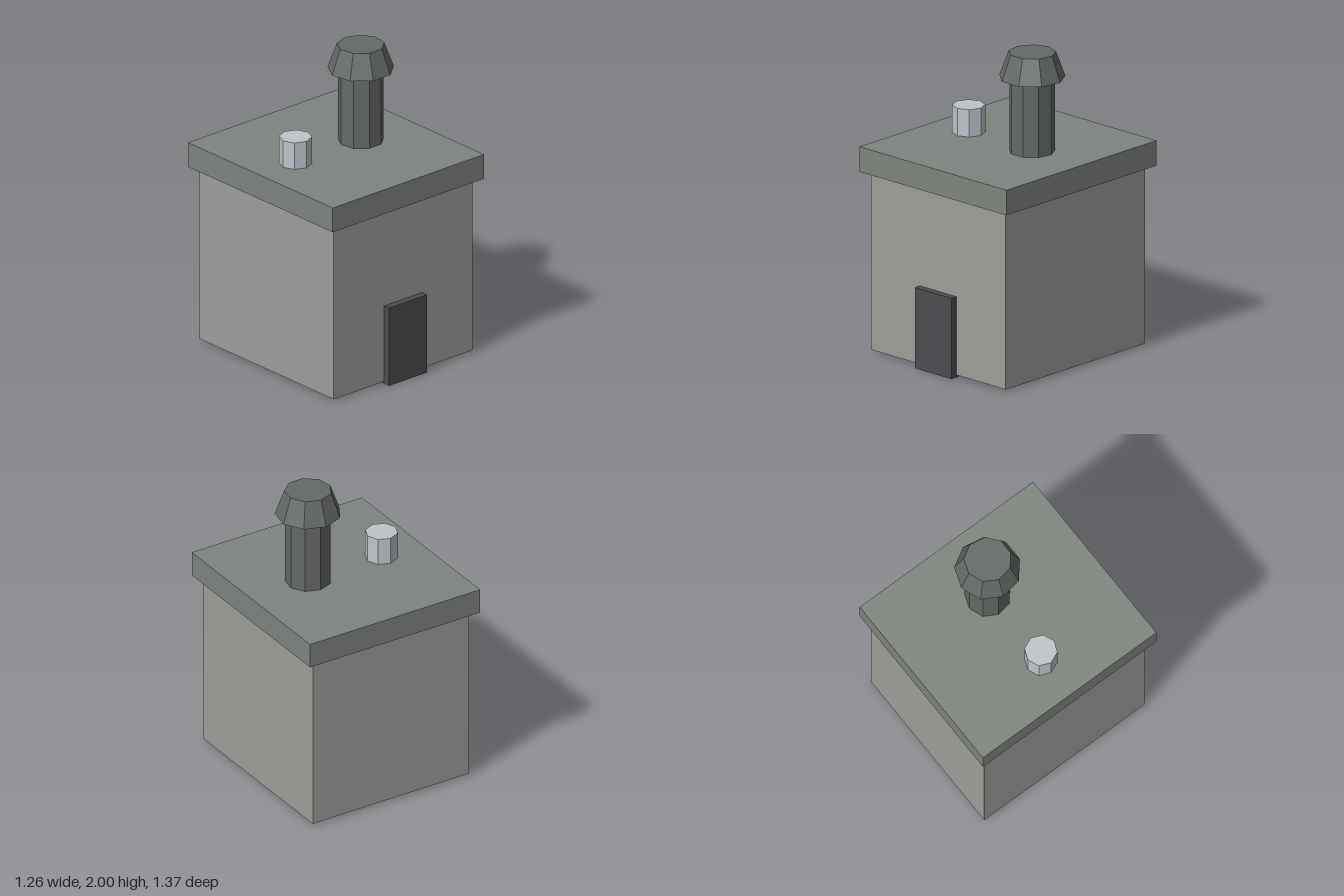
import * as THREE from 'three';

export function createModel() {
  const model = new THREE.Group();

  const add = (name, geometry, color, x, y, z) => {
    const material = new THREE.MeshStandardMaterial({ color, flatShading: true });
    const mesh = new THREE.Mesh(geometry, material);
    mesh.name = name;
    mesh.position.set(x, y, z);
    model.add(mesh);
    return mesh;
  };

  // Box given by width, bottom, top, back and front
  const box = (name, color, w, y0, y1, z0, z1) =>
    add(name, new THREE.BoxGeometry(w, y1 - y0, z1 - z0), color, 0, (y0 + y1) / 2, (z0 + z1) / 2);

  // Upright faceted cylinder given by radii, sides, bottom and top
  const drum = (name, color, rTop, rBottom, sides, x, y0, y1) =>
    add(name, new THREE.CylinderGeometry(rTop, rBottom, y1 - y0, sides), color, x, (y0 + y1) / 2, 0);

  // Building: walls, a roof slab with a thin gap below it, and the door
  box('walls', 0x9d9e9a, 1.16, 0.015, 1.172, -0.633, 0.633);
  box('roofSlab', 0x7f847f, 1.264, 1.185, 1.35, -0.683, 0.683);
  box('door', 0x4a4d50, 0.316, 0, 0.53, 0.615, 0.68);

  // Nine-sided chimney with a corner pointing to the back
  const shaft = drum('chimneyShaft', 0x656a66, 0.145, 0.145, 9, 0.207, 1.35, 1.835);
  const cap = drum('chimneyCap', 0x656a66, 0.15, 0.21, 9, 0.207, 1.835, 2);
  shaft.rotation.y = cap.rotation.y = Math.PI;

  // Small eight-sided roof vent
  drum('roofVent', 0xbec6cb, 0.104, 0.104, 8, -0.338, 1.35, 1.53);

  return model;
}
